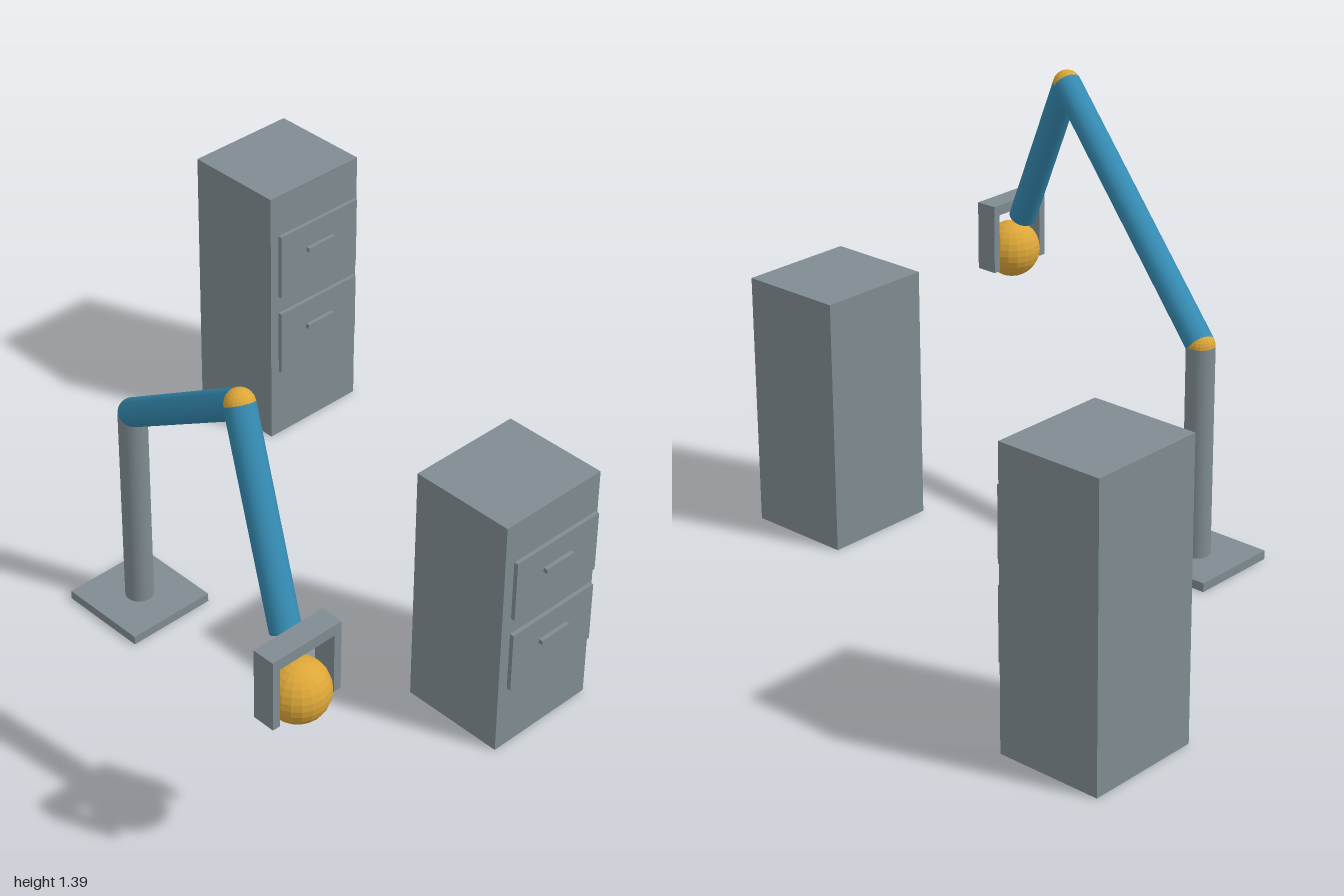
import * as THREE from 'three';

const material = (name, color, extra = {}) => {
  const m = new THREE.MeshStandardMaterial({ color, ...extra });
  m.name = name;
  return m;
};

export function createModel() {
  const grey = material('steelGrey', 0x7f8c92);
  const blue = material('armBlue', 0x3489b0);
  const amber = material('amber', 0xdca638, { flatShading: true });
  const model = new THREE.Group();
  model.name = 'robotArmAndCabinets';

  const group = (name) => {
    const g = new THREE.Group();
    g.name = name;
    model.add(g);
    return g;
  };
  const add = (parent, name, geometry, mat, x, y, z) => {
    const mesh = new THREE.Mesh(geometry, mat);
    mesh.name = name;
    mesh.position.set(x, y, z);
    parent.add(mesh);
    return mesh;
  };
  const box = (parent, name, w, h, d, x, y, z) =>
    add(parent, name, new THREE.BoxGeometry(w, h, d), grey, x, y, z);
  const ball = (parent, name, r, p) =>
    add(parent, name, new THREE.SphereGeometry(r, 20, 14), amber, p.x, p.y, p.z);
  // Round bar between two points
  const bar = (parent, name, mat, r, a, b) => {
    const dir = b.clone().sub(a);
    const mid = a.clone().add(b).multiplyScalar(0.5);
    const mesh = add(parent, name, new THREE.CylinderGeometry(r, r, dir.length(), 32), mat, mid.x, mid.y, mid.z);
    mesh.quaternion.setFromUnitVectors(new THREE.Vector3(0, 1, 0), dir.normalize());
  };

  // Arm: base, column, two links and their joints
  const r = 0.046;
  const foot = new THREE.Vector3(-0.368, 0.03, -0.295);
  const shoulder = new THREE.Vector3(-0.368, 0.738, -0.295);
  const elbow = new THREE.Vector3(-0.662, 1.342, 0.515);
  const wrist = new THREE.Vector3(-0.77, 0.79, 0.81);
  const arm = group('robotArm');
  box(arm, 'basePlate', 0.308, 0.03, 0.308, -0.368, 0.015, -0.295);
  bar(arm, 'column', grey, r, foot, shoulder);
  bar(arm, 'upperArm', blue, r, shoulder, elbow);
  bar(arm, 'forearm', blue, r, elbow, wrist);
  ball(arm, 'shoulderJoint', r, shoulder);
  ball(arm, 'elbowJoint', r, elbow);

  // Gripper with the ball it holds
  const gripper = group('gripper');
  box(gripper, 'gripperBar', 0.254, 0.036, 0.075, -0.798, 0.82, 0.887);
  for (const side of [-1, 1]) {
    box(gripper, side < 0 ? 'rightFinger' : 'leftFinger', 0.026, 0.238, 0.075, -0.798 + side * 0.114, 0.719, 0.887);
  }
  ball(gripper, 'heldBall', 0.097, new THREE.Vector3(-0.798, 0.648, 0.887));

  // Cabinets with two drawers each
  const cabinet = (name, x, height, front) => {
    const g = group(name);
    box(g, 'body', 0.392, height, 0.355, x, height / 2, front - 0.1775);
    for (const [label, fy, hy] of [['lower', 0.408, 0.431], ['upper', 0.726, 0.752]]) {
      box(g, label + 'Drawer', 0.345, height * 0.249, 0.014, x, height * fy, front + 0.019);
      box(g, label + 'Handle', 0.117, 0.016, 0.015, x, height * hy, front + 0.0325);
    }
  };
  cabinet('frontCabinet', 0.141, 0.84, 0.96);
  cabinet('backCabinet', 0.728, 0.952, -0.645);

  return model;
}
